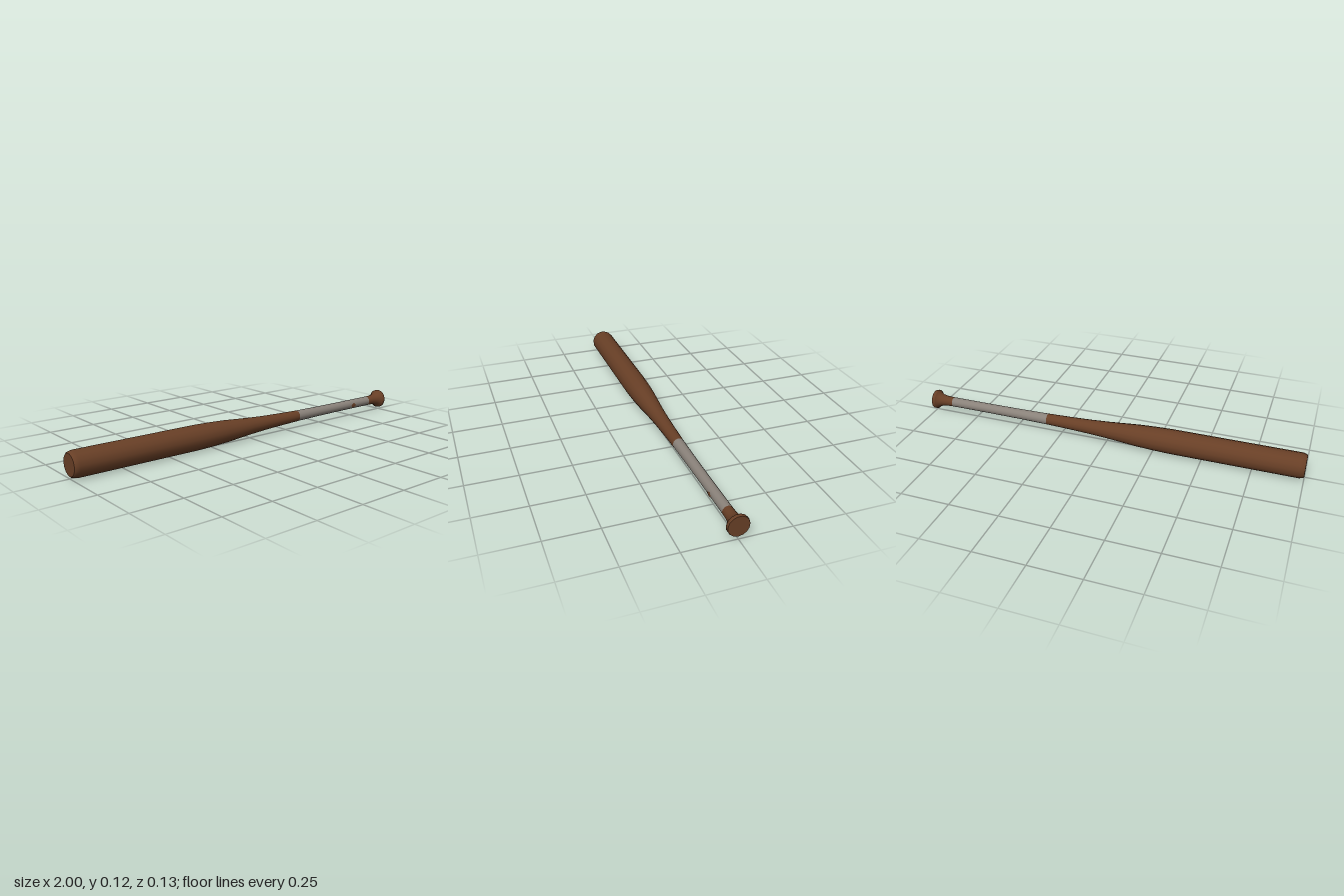
import * as THREE from 'three';

const SIDES = 15;
const AXIS_Y = 0.063;

export function createModel() {
  const bat = new THREE.Group();
  bat.name = 'bat';
  const wood = new THREE.MeshStandardMaterial({ color: 0x683f26 });
  wood.name = 'brown wood';
  const tape = new THREE.MeshStandardMaterial({ color: 0x8a827a });
  tape.name = 'grey tape';

  // Turned section along x; points are [x, radius] from the barrel end to the knob
  const turned = (name, points, material) => {
    const profile = points.map(([x, r]) => new THREE.Vector2(r, x));
    const geometry = new THREE.LatheGeometry(profile, SIDES, Math.PI / 2);
    geometry.rotateZ(-Math.PI / 2);
    const mesh = new THREE.Mesh(geometry, material);
    mesh.name = name;
    mesh.position.y = AXIS_Y;
    bat.add(mesh);
  };

  turned('barrelEnd', [[-1, 0], [-1, 0.053]], wood);
  turned('barrel', [
    [-1, 0.053], [-0.994, 0.059], [-0.977, 0.063], [-0.65, 0.063], [-0.34, 0.063],
    [-0.25, 0.0605], [-0.16, 0.056], [0, 0.043], [0.1, 0.037], [0.2, 0.033], [0.33, 0.029],
  ], wood);
  turned('gripTape', [[0.33, 0.029], [0.5, 0.0265], [0.65, 0.0255], [0.89, 0.0255]], tape);
  turned('handleEnd', [
    [0.89, 0.0255], [0.93, 0.0265], [0.955, 0.031], [0.972, 0.039], [0.98, 0.046],
  ], wood);
  turned('knobRim', [[0.98, 0.046], [0.984, 0.051], [0.996, 0.051], [1, 0.0495]], wood);
  turned('knobFace', [[1, 0.0495], [1, 0]], wood);

  // Small worn patch on the front of the tape, bent around the handle
  const patch = new THREE.CircleGeometry(1, 9);
  const p = patch.attributes.position;
  for (let i = 0; i < p.count; i++) {
    const ragged = i % 2 ? 1 : 0.75;
    const x = p.getX(i) * 0.02 * ragged;
    const y = p.getY(i) * 0.013 * ragged;
    p.setXYZ(i, x, y, Math.sqrt(0.0255 ** 2 - y * y) + 0.001);
  }
  patch.computeVertexNormals();
  const worn = new THREE.Mesh(patch, wood);
  worn.name = 'wornPatch';
  worn.position.set(0.757, AXIS_Y - 0.002, 0);
  bat.add(worn);

  return bat;
}
